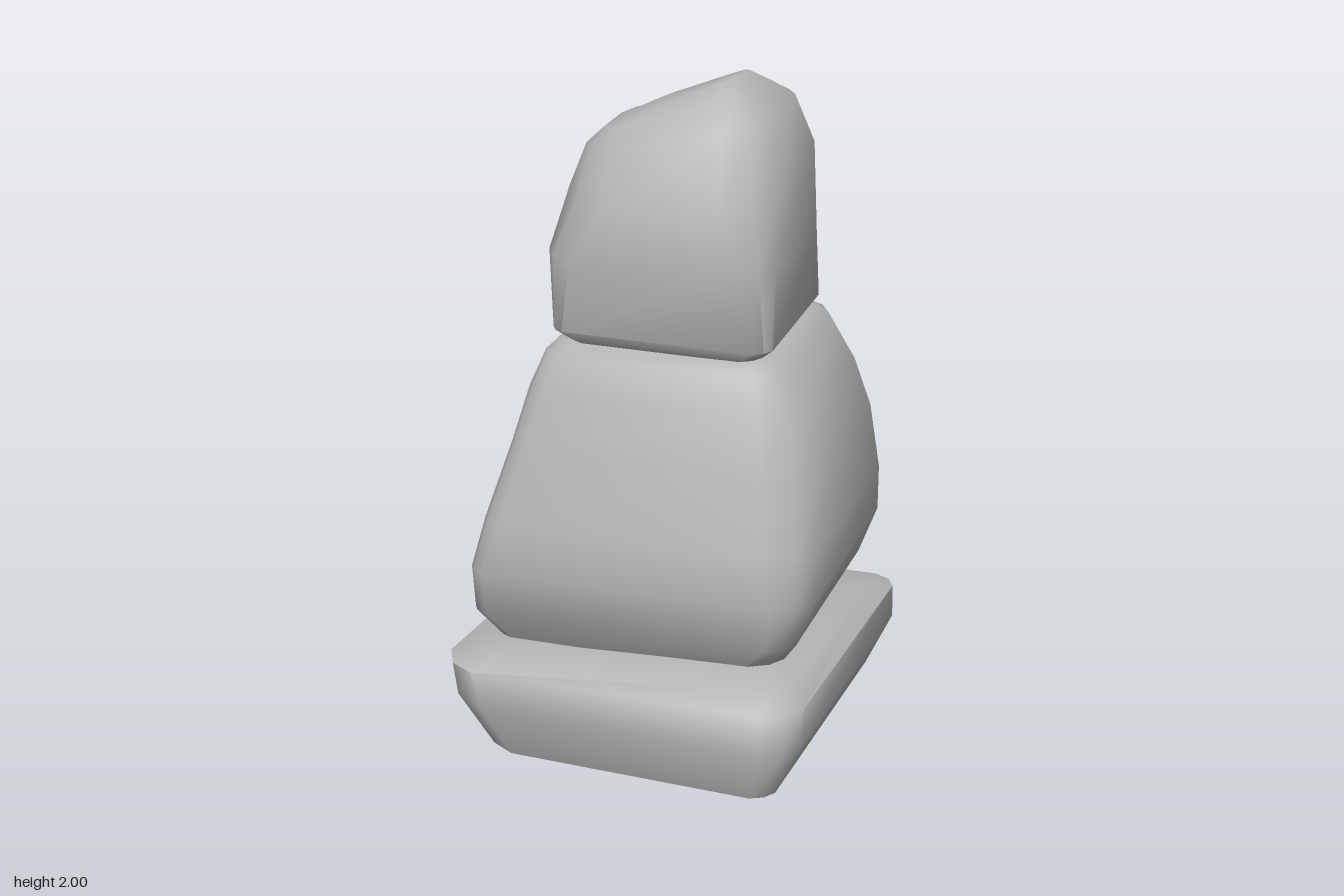
import * as THREE from 'three';
import { toCreasedNormals } from 'three/addons/utils/BufferGeometryUtils.js';

// One loop: a rectangle with rounded corners, tilted by its slopes.
// Ring format: [y, x0, x1, z0, z1, corners, slopeX, slopeZ]
// Corner sizes run front left, front right, back right, back left.
function ringPoints([y, x0, x1, z0, z1, sizes, slopeX = 0, slopeZ = 0]) {
  const corners = [[x1, z1, 1, 1], [x0, z1, -1, 1], [x0, z0, -1, -1], [x1, z0, 1, -1]];
  const pts = [];
  corners.forEach(([x, z, sx, sz], k) => {
    const c = sizes[k];
    const alongX = [x - sx * c, z];
    const alongZ = [x, z - sz * c];
    const mid = [x - sx * c * 0.36, z - sz * c * 0.36];
    const trio = sx === sz ? [alongZ, mid, alongX] : [alongX, mid, alongZ];
    for (const [px, pz] of trio) pts.push([px, y + slopeX * px + slopeZ * pz, pz]);
  });
  return pts;
}

// A stone lofted through the loops and closed at both ends
function stone(name, rings, material) {
  const loops = rings.map(ringPoints);
  const n = loops[0].length;
  const position = loops.flat(2);
  const index = [];
  for (let r = 0; r < loops.length - 1; r++) {
    for (let i = 0; i < n; i++) {
      const j = (i + 1) % n;
      const a = r * n + i, b = r * n + j, d = a + n, c = b + n;
      index.push(a, d, b, b, d, c);
    }
  }
  for (const top of [false, true]) {
    const r = top ? loops.length - 1 : 0;
    const center = position.length / 3;
    for (let k = 0; k < 3; k++) position.push(loops[r].reduce((s, p) => s + p[k], 0) / n);
    for (let i = 0; i < n; i++) {
      const a = r * n + i, b = r * n + (i + 1) % n;
      index.push(center, top ? b : a, top ? a : b);
    }
  }
  const geo = new THREE.BufferGeometry();
  geo.setAttribute('position', new THREE.Float32BufferAttribute(position, 3));
  geo.setIndex(index);
  const mesh = new THREE.Mesh(toCreasedNormals(geo, 0.95), material);
  mesh.name = name;
  return mesh;
}

export function createModel() {
  const group = new THREE.Group();
  group.name = 'stackedStones';
  const stoneGrey = new THREE.MeshStandardMaterial({ color: 0xb4b4b4 });
  stoneGrey.name = 'stone grey';

  // Wide slab, turned slightly, with blunt corners
  const base = stone('baseStone', [
    [0.00, -0.45, 0.49, -0.52, 0.52, [0.06, 0.12, 0.06, 0.05]],
    [0.17, -0.555, 0.568, -0.575, 0.575, [0.09, 0.15, 0.12, 0.08]],
    [0.27, -0.572, 0.57, -0.56, 0.55, [0.10, 0.13, 0.12, 0.08], 0.02],
    [0.31, -0.50, 0.52, -0.47, 0.49, [0.09, 0.12, 0.09, 0.08], 0.03, 0.02],
    [0.335, -0.34, 0.42, -0.30, 0.36, [0.08, 0.10, 0.07, 0.08], 0.05, 0.03],
  ], stoneGrey);
  base.rotation.y = -0.045;
  group.add(base);

  // Tapering middle boulder, fuller at the back
  group.add(stone('bodyStone', [
    [0.32, -0.44, 0.43, -0.42, 0.40, [0.09, 0.05, 0.05, 0.07], 0, 0.03],
    [0.42, -0.505, 0.49, -0.46, 0.44, [0.08, 0.05, 0.05, 0.07]],
    [0.56, -0.50, 0.54, -0.52, 0.47, [0.10, 0.05, 0.06, 0.10]],
    [0.71, -0.465, 0.545, -0.55, 0.45, [0.13, 0.06, 0.09, 0.15]],
    [0.94, -0.40, 0.53, -0.52, 0.38, [0.15, 0.06, 0.11, 0.20]],
    [1.10, -0.36, 0.485, -0.46, 0.335, [0.12, 0.06, 0.11, 0.18]],
    [1.22, -0.32, 0.40, -0.38, 0.29, [0.07, 0.05, 0.08, 0.10], 0, -0.06],
    [1.25, -0.29, 0.36, -0.32, 0.26, [0.06, 0.05, 0.06, 0.08], 0, -0.07],
  ], stoneGrey));

  // Head stone, its top slanting up to one side
  group.add(stone('headStone', [
    [1.25, -0.25, 0.33, -0.28, 0.26, [0.05, 0.05, 0.06, 0.05], -0.02, -0.06],
    [1.285, -0.295, 0.37, -0.32, 0.28, [0.05, 0.04, 0.06, 0.05], -0.02, -0.06],
    [1.50, -0.32, 0.37, -0.31, 0.30, [0.09, 0.10, 0.07, 0.08]],
    [1.72, -0.28, 0.365, -0.30, 0.29, [0.14, 0.16, 0.08, 0.10], 0.05, -0.22],
    [1.85, -0.24, 0.31, -0.285, 0.195, [0.11, 0.10, 0.08, 0.11], 0.18, -0.10],
    [1.895, -0.195, 0.25, -0.23, 0.15, [0.09, 0.07, 0.07, 0.09], 0.27, -0.02],
    [1.93, -0.10, 0.19, -0.16, 0.10, [0.06, 0.05, 0.05, 0.06], 0.37, 0],
  ], stoneGrey));

  // Four-sided hollow socket on the back of the head
  const profile = [
    [0.225, 0], [0.215, 0.06], [0.185, 0.095], [0.14, 0.095], [0.13, 0.03], [0, 0.03],
  ].map(([r, h]) => new THREE.Vector2(r, h));
  const socketGeo = toCreasedNormals(new THREE.LatheGeometry(profile, 4), 0.3);
  socketGeo.rotateX(-Math.PI / 2);
  const socket = new THREE.Mesh(socketGeo, stoneGrey);
  socket.name = 'backSocket';
  socket.rotation.set(0.05, 0, -0.16);
  socket.position.set(0.025, 1.595, -0.30);
  group.add(socket);

  return group;
}
